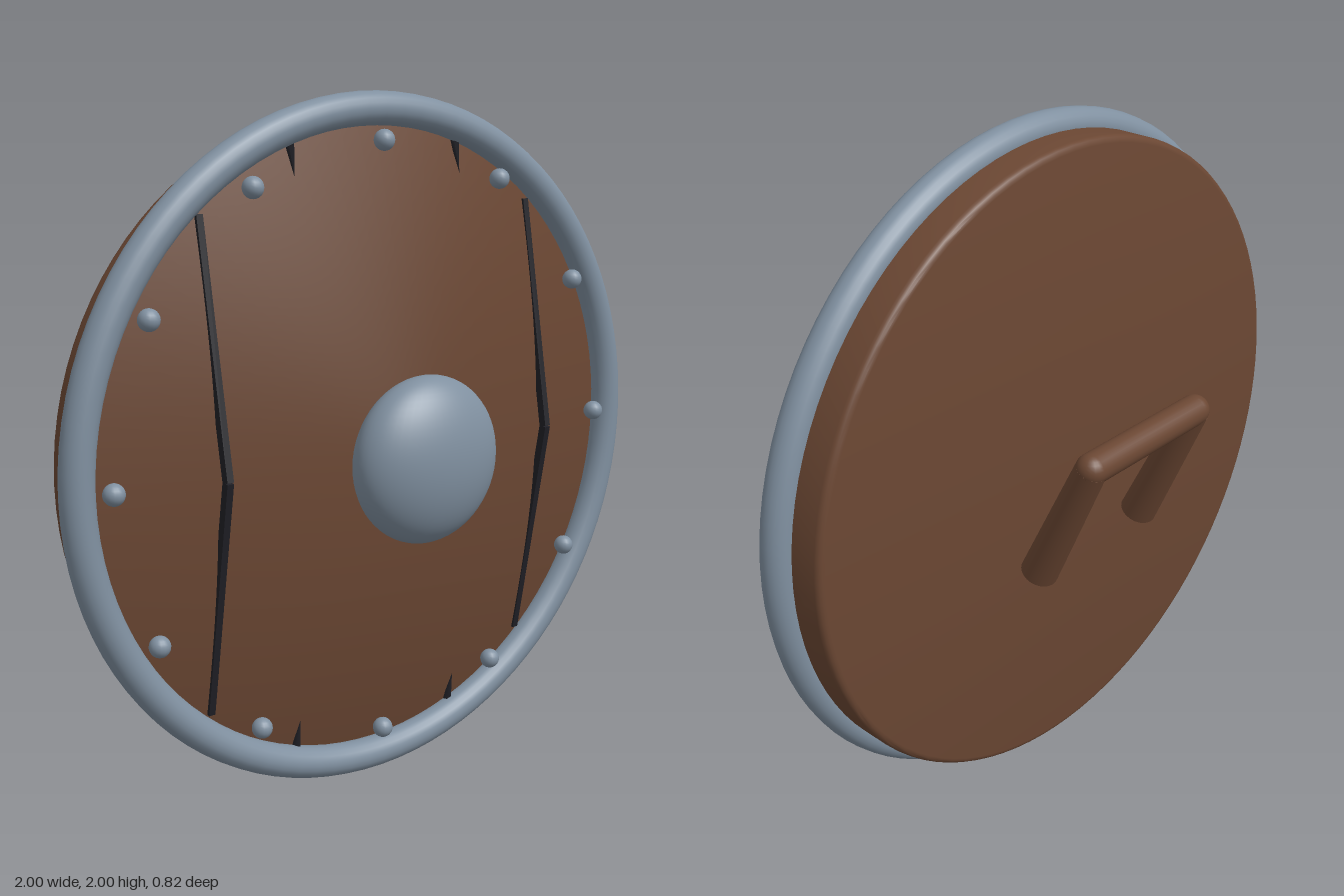
import * as THREE from 'three';
import { toCreasedNormals } from 'three/addons/utils/BufferGeometryUtils.js';

const wood = new THREE.MeshStandardMaterial({ color: 0x6b4733 });
wood.name = 'brown wood';
const metal = new THREE.MeshStandardMaterial({ color: 0x8090a0 });
metal.name = 'grey metal';
const dark = new THREE.MeshStandardMaterial({ color: 0x202026 });
dark.name = 'dark seam';

export function createModel() {
  const model = new THREE.Group();
  model.name = 'roundShield';

  // Everything hangs on one slightly turned group whose z axis is the shield axis
  const shield = new THREE.Group();
  shield.name = 'shield';
  shield.position.set(0, 1, 0.06);
  shield.rotation.y = 0.066;
  model.add(shield);

  const add = (name, geometry, material, x = 0, y = 0, z = 0) => {
    const mesh = new THREE.Mesh(geometry, material);
    mesh.name = name;
    mesh.position.set(x, y, z);
    shield.add(mesh);
    return mesh;
  };

  // Tapered round bar between two points
  const bar = (name, a, b, ra, rb) => {
    const dir = b.clone().sub(a);
    const mesh = add(name, new THREE.CylinderGeometry(rb, ra, dir.length(), 24), wood);
    mesh.position.copy(a).add(b).multiplyScalar(0.5);
    mesh.quaternion.setFromUnitVectors(new THREE.Vector3(0, 1, 0), dir.normalize());
  };

  // Wooden board: flat back, rounded back edge, conical front
  const profile = [new THREE.Vector2(0, -0.15)];
  for (let i = 0; i <= 4; i++) {
    const a = (i / 4) * Math.PI / 2;
    profile.push(new THREE.Vector2(0.93 + 0.02 * Math.sin(a), -0.13 - 0.02 * Math.cos(a)));
  }
  profile.push(new THREE.Vector2(0.95, -0.025), new THREE.Vector2(0, 0.232));
  const board = new THREE.LatheGeometry(profile, 96).rotateX(Math.PI / 2);
  add('board', toCreasedNormals(board, 0.7), wood);

  // Metal rim and central boss
  add('rim', new THREE.TorusGeometry(0.953, 0.047, 20, 96), metal);
  add('boss', new THREE.SphereGeometry(0.238, 48, 32), metal, 0, 0, 0.222).scale.z = 0.53;

  // Ring of rivets
  const rivet = new THREE.SphereGeometry(0.03, 16, 12);
  for (let i = 0; i < 12; i++) {
    const a = (i / 12) * Math.PI * 2;
    add('rivet', rivet, metal, 0.867 * Math.cos(a), 0.867 * Math.sin(a), 0.033);
  }

  // Plank seams: long bent strips, and short tapered ones by the rim
  const drop = 0.122;
  const reach = 0.685;
  const strip = new THREE.BoxGeometry(0.02, Math.hypot(reach, drop), 0.025);
  const nick = new THREE.ConeGeometry(0.014, 0.1, 4, 1, false, Math.PI / 4);
  for (const sx of [-1, 1]) {
    for (const sy of [-1, 1]) {
      const seam = add('longSeam', strip, dark, sx * 0.575, sy * reach / 2, 0.047);
      seam.rotation.x = -sy * Math.atan2(drop, reach);
      const short = add('shortSeam', nick, dark, sx * 0.29, sy * 0.82, 0.004);
      short.rotation.x = sy > 0 ? Math.PI - 0.25 : 0.25;
    }
  }

  // Handle behind the board: two slanted legs joined by a grip
  const top = (s) => new THREE.Vector3(s * 0.225, 0.18, -0.41);
  for (const s of [-1, 1]) {
    bar('handleLeg', new THREE.Vector3(s * 0.225, -0.225, -0.225), top(s), 0.055, 0.045);
    add('handleCorner', new THREE.SphereGeometry(0.045, 20, 14), wood).position.copy(top(s));
  }
  bar('handleGrip', top(-1), top(1), 0.045, 0.045);

  return model;
}
